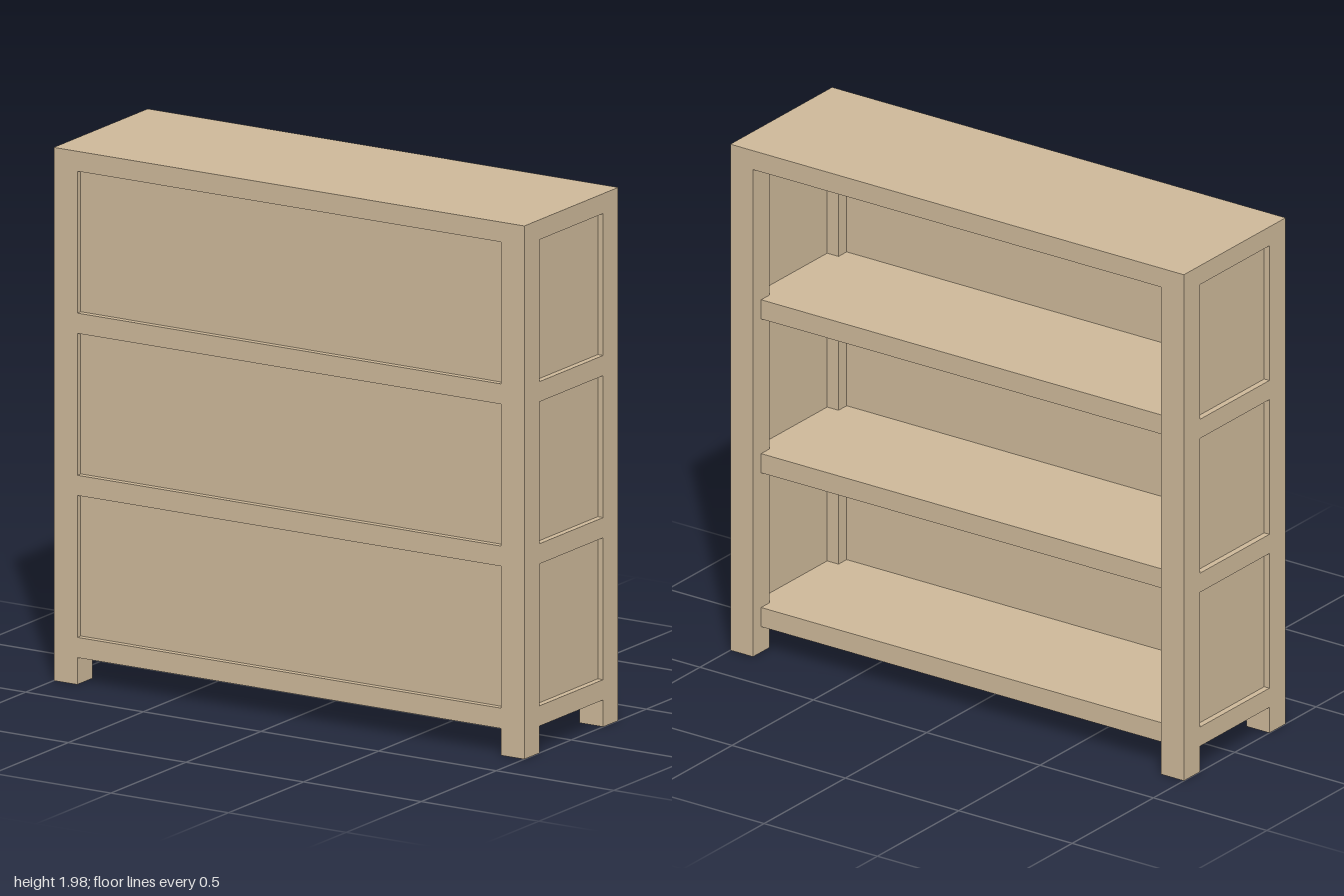
import * as THREE from 'three';

const W = 1, D = 0.313, H = 1.98;      // half width, half depth, height
const POST = 0.1, BOARD = 0.075;       // post section, board thickness
const LEG = 0.1, PITCH = 0.602;        // foot height, shelf spacing
const RECESS = 0.023, PANEL = 0.027;   // panel set-back and thickness
const BACK_GAP = 0.05;                 // shelf set-back at the open back

export function createModel() {
  const group = new THREE.Group();
  const wood = new THREE.MeshStandardMaterial({ color: 0xcdb899 });

  const add = (name, geometry, x, y, z) => {
    const mesh = new THREE.Mesh(geometry, wood);
    mesh.name = name;
    mesh.position.set(x, y, z);
    group.add(mesh);
  };
  const box = (name, w, h, d, x, y, z) => add(name, new THREE.BoxGeometry(w, h, d), x, y, z);

  const topBase = LEG + 3 * PITCH;
  const px = W - POST, pz = D - POST;

  // Top board
  box('topBoard', 2 * W, H - topBase, 2 * D, 0, (H + topBase) / 2, 0);

  // Corner posts, running down into the feet
  for (const sx of [-1, 1]) {
    for (const sz of [-1, 1]) {
      box(sz > 0 ? 'frontPost' : 'backPost', POST, topBase, POST,
        sx * (W - POST / 2), topBase / 2, sz * (D - POST / 2));
    }
  }

  // Shelves: notched round the posts, flush with the front and sides
  const back = D - BACK_GAP;
  const plan = new THREE.Shape([
    [-px, -D], [px, -D], [px, -pz], [W, -pz], [W, pz], [px, pz],
    [px, back], [-px, back], [-px, pz], [-W, pz], [-W, -pz], [-px, -pz],
  ].map(([x, y]) => new THREE.Vector2(x, y)));
  const shelf = new THREE.ExtrudeGeometry(plan, { depth: BOARD, bevelEnabled: false });
  shelf.rotateX(-Math.PI / 2);

  for (let i = 0; i < 3; i++) {
    const y = LEG + i * PITCH;
    add('shelf', shelf, 0, y, 0);

    // Recessed panels closing the front and both sides of this bay
    const h = PITCH - BOARD, cy = y + BOARD + h / 2;
    const inset = RECESS + PANEL / 2;
    box('frontPanel', 2 * px, h, PANEL, 0, cy, D - inset);
    for (const sx of [-1, 1]) {
      box('sidePanel', PANEL, h, 2 * pz, sx * (W - inset), cy, 0);
    }
  }

  return group;
}
